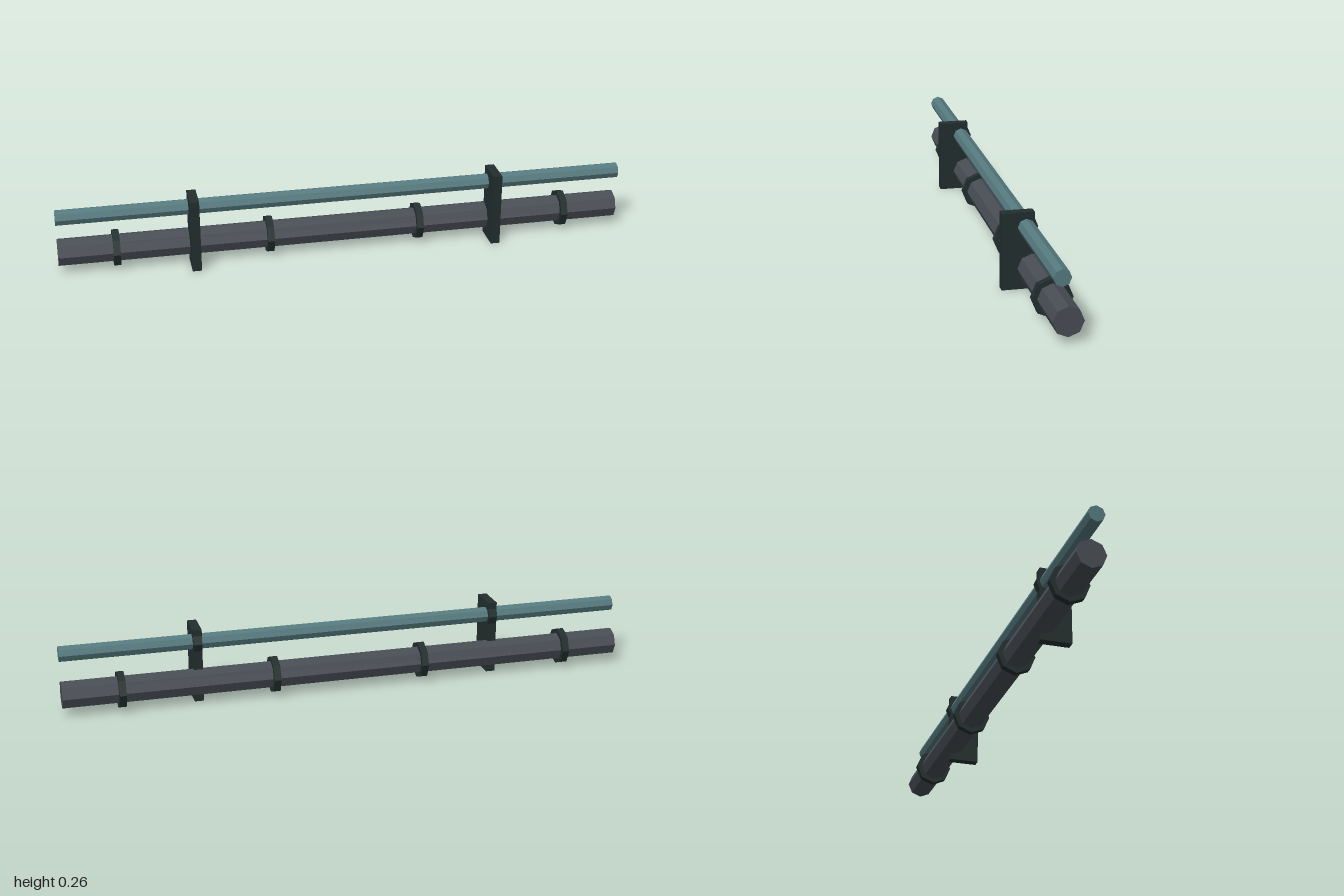
import * as THREE from 'three';

export function createModel() {
  const model = new THREE.Group();
  model.name = 'wallPipes';

  const material = (name, color) => {
    const m = new THREE.MeshStandardMaterial({ color, flatShading: true });
    m.name = name;
    return m;
  };
  const teal = material('tealMetal', 0x557a7f);
  const grey = material('greyMetal', 0x484d54);
  const dark = material('darkMetal', 0x232e2e);

  const add = (name, geometry, mat, x, y, z) => {
    const mesh = new THREE.Mesh(geometry, mat);
    mesh.name = name;
    mesh.position.set(x, y, z);
    model.add(mesh);
  };
  // Eight-sided bar lying along x
  const bar = (radius, length) =>
    new THREE.CylinderGeometry(radius, radius, length, 8).rotateZ(Math.PI / 2);

  const thin = { y: 0.21, z: 0.004 };
  const thick = { y: 0.07, z: -0.016 };

  // The two pipes
  add('thinPipe', bar(0.028, 2), teal, 0, thin.y, thin.z);
  add('thickPipe', bar(0.049, 2), grey, 0, thick.y, thick.z);

  // Collars around the thick pipe
  const collar = bar(0.066, 0.024);
  for (const x of [-0.8, -0.267, 0.267, 0.8]) {
    add('thickPipeCollar', collar, dark, x, thick.y, thick.z);
  }

  // Mounting plates with a clamp around the thin pipe
  const plate = new THREE.BoxGeometry(0.032, 0.26, 0.107);
  const clamp = bar(0.039, 0.03);
  for (const x of [-0.533, 0.533]) {
    add('mountingPlate', plate, dark, x, 0.13, 0.0305);
    add('thinPipeClamp', clamp, dark, x, thin.y, thin.z);
  }

  return model;
}
